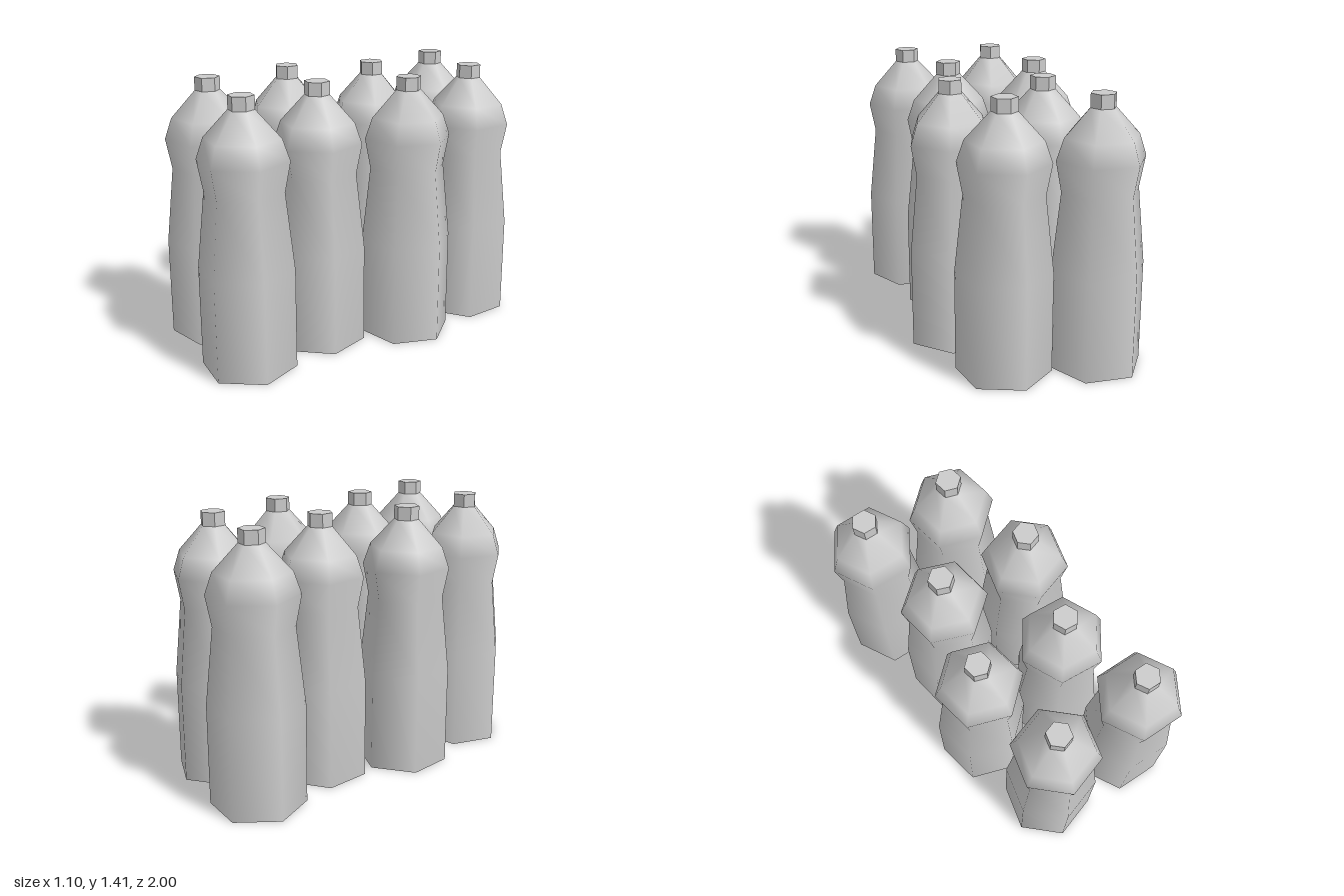
import * as THREE from 'three';

const SIDES = 6;

// Body profile from the open base up to the neck: [radius, height]
const PROFILE = [
  [0.245, 0], [0.245, 0.53], [0.201, 0.93], [0.231, 1.09], [0.193, 1.2], [0.066, 1.34],
];
const CAP_RADIUS = 0.066;
const CAP_BOTTOM = 1.34;
const CAP_TOP = 1.41;

// Standing place of each bottle: [x, z, angle of a corner in degrees from +x towards +z]
const PLACES = [
  [-0.227, -0.77, 10.5], [0.235, -0.651, 28.5],
  [-0.161, -0.28, 30.7], [0.307, -0.164, 52.7],
  [-0.338, 0.167, 28.7], [0.13, 0.288, 14.6],
  [-0.304, 0.677, 52.7], [0.195, 0.768, 10.5],
];

export function createModel() {
  const model = new THREE.Group();
  model.name = 'bottles';

  // Smooth hollow body, faceted cap
  const bodyMaterial = new THREE.MeshStandardMaterial({ color: 0xcccccc, side: THREE.DoubleSide });
  const capMaterial = new THREE.MeshStandardMaterial({ color: 0xcccccc, flatShading: true });
  const bodyGeometry = new THREE.LatheGeometry(
    PROFILE.map(([r, y]) => new THREE.Vector2(r, y)), SIDES);
  const capHeight = CAP_TOP - CAP_BOTTOM;
  const capGeometry = new THREE.CylinderGeometry(CAP_RADIUS, CAP_RADIUS, capHeight, SIDES);
  capGeometry.translate(0, CAP_BOTTOM + capHeight / 2, 0);

  PLACES.forEach(([x, z, angle], i) => {
    const bottle = new THREE.Group();
    bottle.name = `bottle${i + 1}`;

    const body = new THREE.Mesh(bodyGeometry, bodyMaterial);
    body.name = 'bottleBody';
    const cap = new THREE.Mesh(capGeometry, capMaterial);
    cap.name = 'bottleCap';

    bottle.add(body, cap);
    bottle.position.set(x, 0, z);
    bottle.rotation.y = THREE.MathUtils.degToRad(90 - angle);
    model.add(bottle);
  });

  return model;
}
